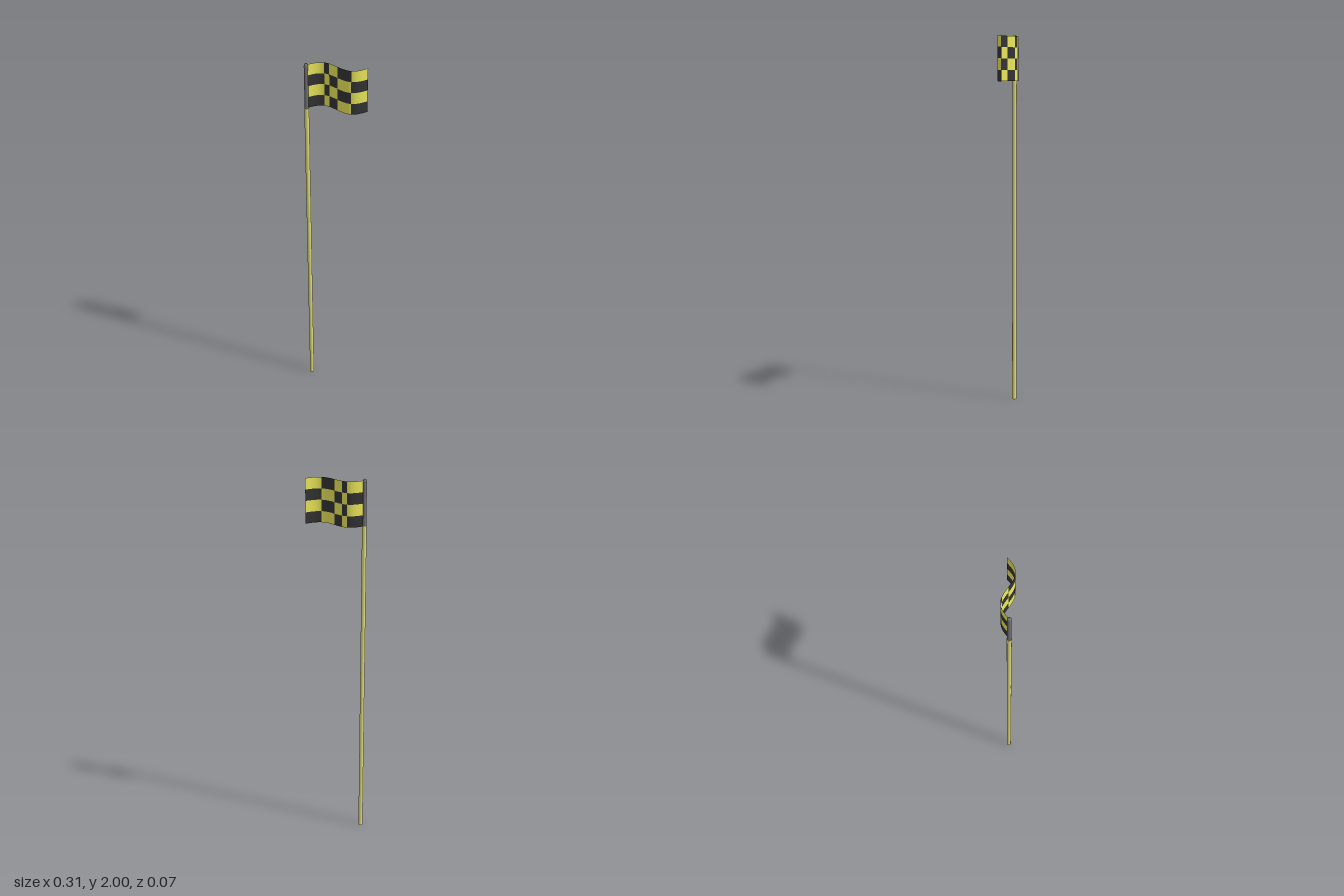
import * as THREE from 'three';

const POLE_X = -0.142;
const FLAG_END = 0.152;
const AMPLITUDE = 0.036;
const WAVE = (2 * Math.PI) / (FLAG_END - POLE_X);

// depth and slope of the waving cloth at a given x
const waveZ = (x) => -AMPLITUDE * Math.sin(WAVE * (x - POLE_X));
const waveSlope = (x) => -AMPLITUDE * WAVE * Math.cos(WAVE * (x - POLE_X));

// one rectangular check of the flag, bent along the wave
function flagCheck(x0, x1, y0, y1, material) {
  const geometry = new THREE.PlaneGeometry(x1 - x0, y1 - y0, 8, 1);
  geometry.translate((x0 + x1) / 2, (y0 + y1) / 2, 0);
  const position = geometry.attributes.position;
  const normal = geometry.attributes.normal;
  for (let i = 0; i < position.count; i++) {
    const x = position.getX(i);
    const slope = waveSlope(x);
    const length = Math.hypot(slope, 1);
    position.setZ(i, waveZ(x));
    normal.setXYZ(i, -slope / length, 0, 1 / length);
  }
  return new THREE.Mesh(geometry, material);
}

export function createModel() {
  const model = new THREE.Group();
  model.name = 'checkeredFlag';

  const poleMaterial = new THREE.MeshStandardMaterial({ color: 0xe6e280 });
  const sleeveMaterial = new THREE.MeshStandardMaterial({ color: 0x77757a });
  const yellow = new THREE.MeshStandardMaterial({ color: 0xf0ec5c, side: THREE.DoubleSide });
  const dark = new THREE.MeshStandardMaterial({ color: 0x343434, side: THREE.DoubleSide });

  // long pole standing on the ground
  const pole = new THREE.Mesh(new THREE.CylinderGeometry(0.0116, 0.0116, 1.765, 24), poleMaterial);
  pole.name = 'pole';
  pole.position.set(POLE_X, 1.765 / 2, 0);
  model.add(pole);

  // sleeve holding the cloth, with a rounded tip
  const profile = [[0, 1.762], [0.0098, 1.762], [0.0098, 1.985], [0.009, 1.992], [0.0065, 1.998], [0, 2]];
  const sleeve = new THREE.Mesh(
    new THREE.LatheGeometry(profile.map(([r, y]) => new THREE.Vector2(r, y)), 24),
    sleeveMaterial
  );
  sleeve.name = 'flagSleeve';
  sleeve.position.x = POLE_X;
  model.add(sleeve);

  // waving cloth of alternating checks
  const flag = new THREE.Group();
  flag.name = 'flagCloth';
  const columns = [POLE_X, -0.06, -0.035, 0.008, 0.077, FLAG_END];
  const rows = [1.992, 1.935, 1.878, 1.82, 1.763];
  for (let c = 0; c < columns.length - 1; c++) {
    for (let r = 0; r < rows.length - 1; r++) {
      const isYellow = (c + r) % 2 === 0;
      const check = flagCheck(columns[c], columns[c + 1], rows[r + 1], rows[r], isYellow ? yellow : dark);
      check.name = isYellow ? 'yellowCheck' : 'darkCheck';
      flag.add(check);
    }
  }
  model.add(flag);

  return model;
}
